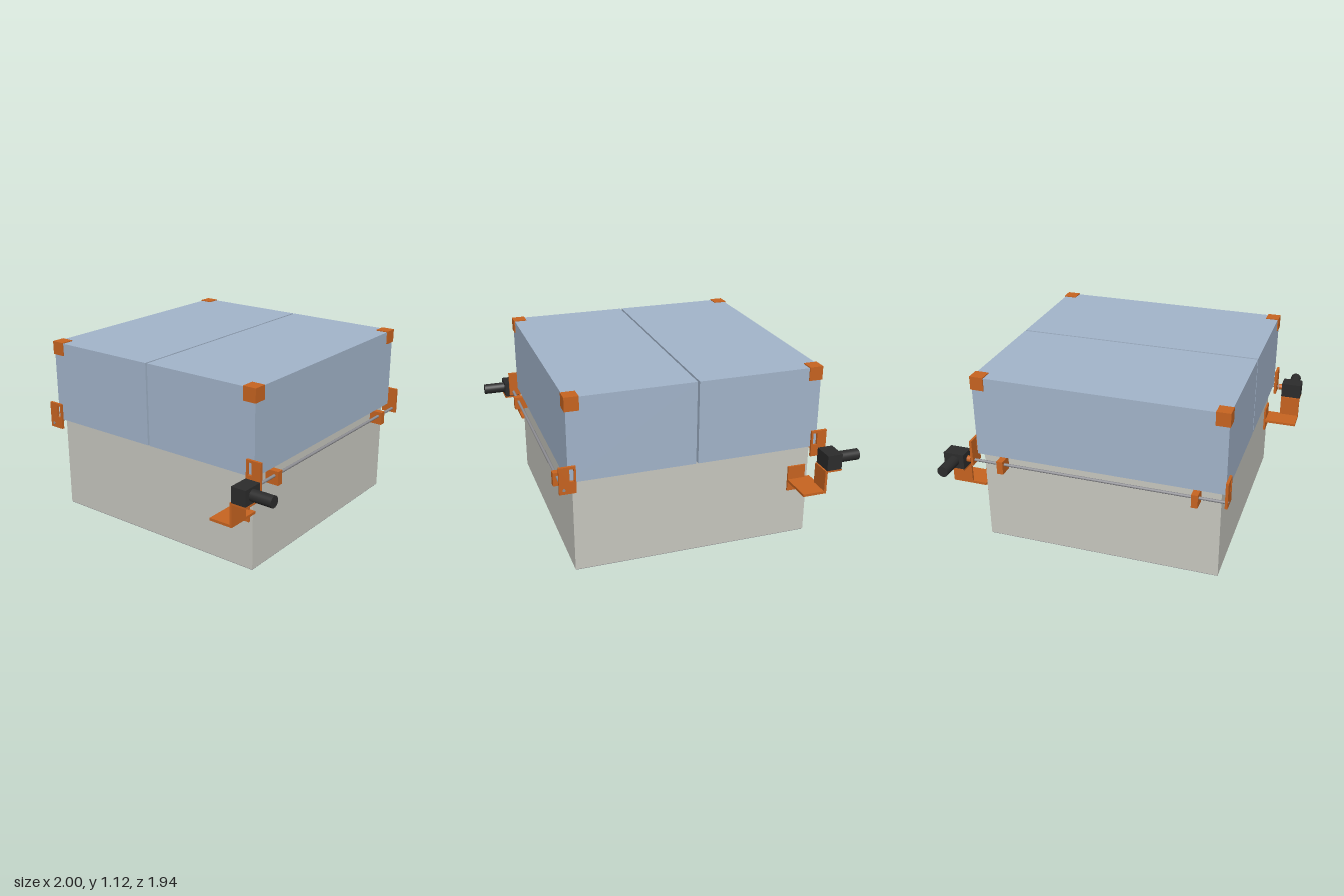
import * as THREE from 'three';

const paint = (name, color) => {
  const m = new THREE.MeshStandardMaterial({ color });
  m.name = name;
  return m;
};

export function createModel() {
  const blue = paint('lid blue', 0xa3b5cb);
  const stone = paint('stone grey', 0xc8c8c0);
  const orange = paint('bracket orange', 0xc86420);
  const black = paint('motor black', 0x2c2c2c);
  const metal = paint('metal grey', 0x8e8e93);

  const model = new THREE.Group();
  model.name = 'motorisedBox';

  const add = (parent, name, geometry, material) => {
    const mesh = new THREE.Mesh(geometry, material);
    mesh.name = name;
    parent.add(mesh);
    return mesh;
  };
  // Box given by its extents along each axis
  const block = (parent, name, material, [x0, x1], [y0, y1], [z0, z1]) => {
    const g = new THREE.BoxGeometry(x1 - x0, y1 - y0, z1 - z0);
    g.translate((x0 + x1) / 2, (y0 + y1) / 2, (z0 + z1) / 2);
    return add(parent, name, g, material);
  };
  const rectangle = (Type, x0, x1, y0, y1) => new Type().setFromPoints([
    [x0, y0], [x1, y0], [x1, y1], [x0, y1], [x0, y0],
  ].map(([x, y]) => new THREE.Vector2(x, y)));
  // Square ring lying flat between two heights
  const ring = (name, material, outer, inner, y0, y1) => {
    const s = rectangle(THREE.Shape, -outer, outer, -outer, outer);
    s.holes.push(rectangle(THREE.Path, -inner, inner, -inner, inner));
    const g = new THREE.ExtrudeGeometry(s, { depth: y1 - y0, bevelEnabled: false });
    g.rotateX(-Math.PI / 2).translate(0, y0, 0);
    return add(model, name, g, material);
  };

  // Base with a recessed floor inside a metal bottom frame
  block(model, 'base', stone, [-0.75, 0.75], [0.045, 0.6], [-0.75, 0.75]);
  ring('baseSkirt', stone, 0.75, 0.746, 0.005, 0.045);
  ring('bottomFrame', metal, 0.747, 0.7, 0, 0.045);

  // Two lid halves with a narrow gap
  block(model, 'leftLid', blue, [0.005, 0.78], [0.602, 1.118], [-0.78, 0.78]);
  block(model, 'rightLid', blue, [-0.78, -0.008], [0.602, 1.118], [-0.78, 0.78]);

  // Small catches inside the gap
  for (const z of [-0.68, -0.1, 0.09, 0.68]) {
    block(model, 'gapCatch', black, [-0.009, 0.006], [0.84, 0.87], [z - 0.035, z + 0.035]);
  }

  // Corner caps on the lid
  for (const x of [-1, 1]) for (const z of [-1, 1]) {
    const cap = add(model, 'cornerCap', new THREE.BoxGeometry(0.085, 0.085, 0.085), orange);
    cap.position.set(x * 0.744, 1.081, z * 0.744);
  }

  // Slotted end plate for the drive rod
  const plateShape = rectangle(THREE.Shape, 0.737, 0.837, 0.545, 0.712);
  plateShape.holes.push(rectangle(THREE.Path, 0.748, 0.775, 0.62, 0.697));
  const plate = new THREE.ExtrudeGeometry(plateShape, { depth: 0.016, bevelEnabled: false });

  // One side drive, then the same turned half way round
  for (const turn of [0, Math.PI]) {
    const drive = new THREE.Group();
    drive.name = turn ? 'rightDrive' : 'leftDrive';
    drive.rotation.y = turn;
    model.add(drive);

    const along = (name, material, r, z0, z1) => {
      const g = new THREE.CylinderGeometry(r, r, z1 - z0, 20).rotateX(Math.PI / 2);
      add(drive, name, g, material).position.set(0.81, 0.572, (z0 + z1) / 2);
    };
    along('driveRod', metal, 0.009, -0.805, 0.845);
    along('coupler', orange, 0.02, 0.812, 0.836);

    for (const z of [-0.803, 0.787]) add(drive, 'endPlate', plate, orange).position.z = z;
    for (const z of [-0.61, 0.61]) {
      block(drive, 'rodBearing', orange, [0.75, 0.836], [0.515, 0.6], [z - 0.02, z + 0.02]);
    }

    // Motor with its sideways barrel
    block(drive, 'gearbox', black, [0.763, 0.86], [0.52, 0.618], [0.84, 0.972]);
    const barrel = new THREE.CylinderGeometry(0.035, 0.035, 0.142, 28).rotateZ(Math.PI / 2);
    add(drive, 'motorBarrel', barrel, black).position.set(0.929, 0.57, 0.907);

    // Stepped motor bracket
    const depth = [0.842, 0.972];
    block(drive, 'bracketTop', orange, [0.753, 0.862], [0.509, 0.52], depth);
    block(drive, 'bracketUpright', orange, [0.753, 0.768], [0.37, 0.512], depth);
    block(drive, 'bracketShelf', orange, [0.615, 0.768], [0.37, 0.386], [0.75, 0.972]);
    block(drive, 'bracketWallPlate', orange, [0.615, 0.73], [0.308, 0.472], [0.75, 0.762]);
  }
  return model;
}
